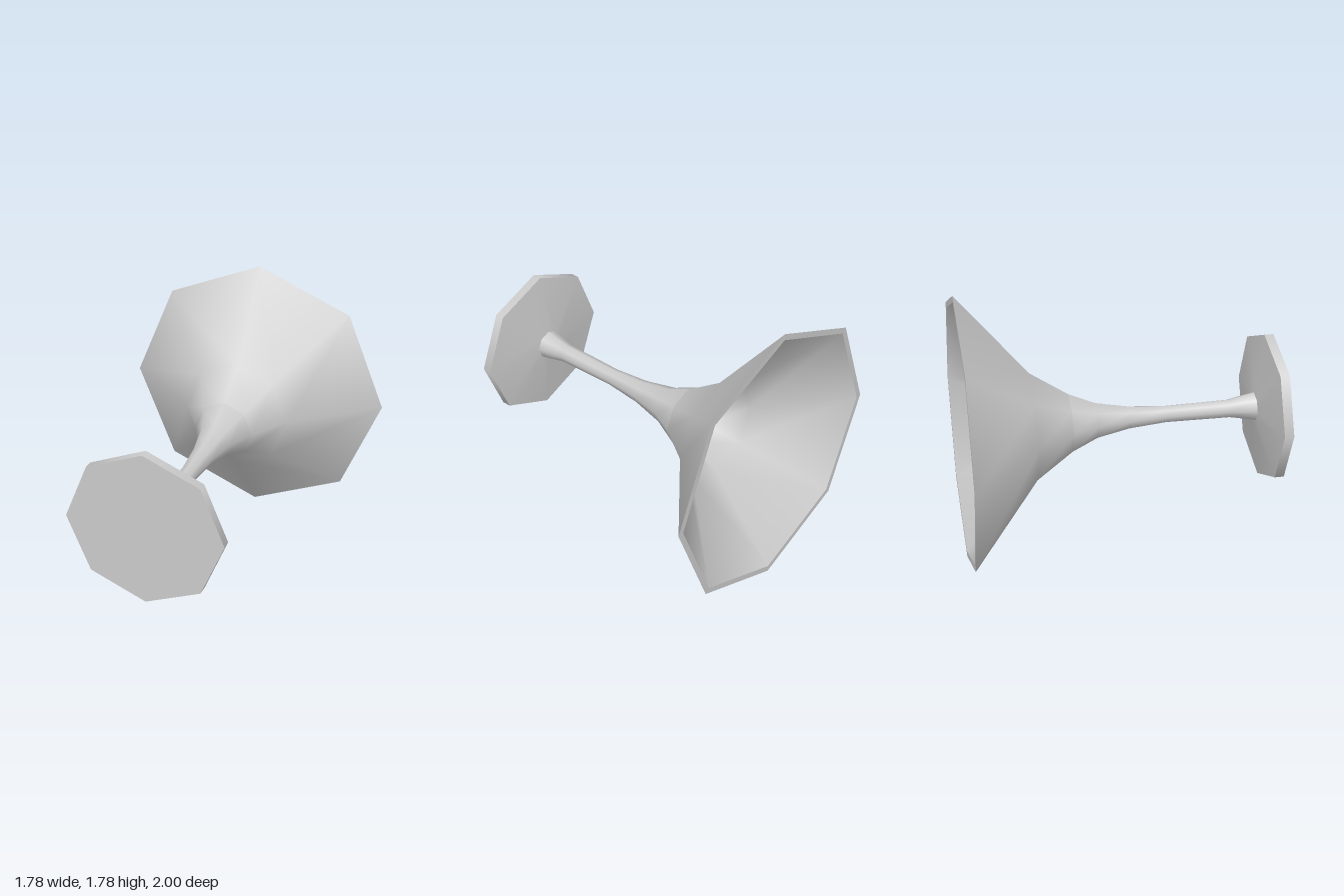
import * as THREE from 'three';

const SIDES = 8;
const AXIS_HEIGHT = 0.89;
const material = new THREE.MeshStandardMaterial({ color: 0xcccccc });

// Revolve a profile of [radius, z] points around the z axis.
// Profiles running toward +z face outward; reversed ones face inward.
function revolve(name, profile) {
  const points = profile.map(([r, z]) => new THREE.Vector2(r, z));
  const geometry = new THREE.LatheGeometry(points, SIDES);
  geometry.rotateX(Math.PI / 2);
  const mesh = new THREE.Mesh(geometry, material);
  mesh.name = name;
  return mesh;
}

function createGroup(name, ...parts) {
  const group = new THREE.Group();
  group.name = name;
  group.add(...parts);
  return group;
}

export function createModel() {
  // Conical bowl with a thick wall, flat rim and flat floor
  const bowl = createGroup('bowl',
    revolve('bowlOuterWall', [[0.89, -1], [0.357, -0.56], [0.195, -0.32]]),
    revolve('bowlRim', [[0.85, -1], [0.89, -1]]),
    revolve('bowlInnerWall', [[0.185, -0.36], [0.325, -0.56], [0.85, -1]]),
    revolve('bowlFloor', [[0, -0.36], [0.185, -0.36]]),
  );

  // Slender stem that flares into the bowl and the foot
  const stem = revolve('stem', [
    [0.195, -0.32], [0.118, -0.15], [0.075, 0.06],
    [0.055, 0.3], [0.06, 0.72], [0.095, 0.89],
  ]);

  // Round foot: sloped top, thin edge, flat underside
  const foot = createGroup('foot',
    revolve('footTop', [[0, 0.89], [0.095, 0.89], [0.49, 0.94]].slice(1)),
    revolve('footEdge', [[0.49, 0.94], [0.49, 1]]),
    revolve('footUnderside', [[0.49, 1], [0, 1]]),
  );

  // The glass lies on its side, resting on the bowl rim
  const glass = createGroup('cocktailGlass', bowl, stem, foot);
  glass.position.y = AXIS_HEIGHT;
  return createGroup('model', glass);
}
